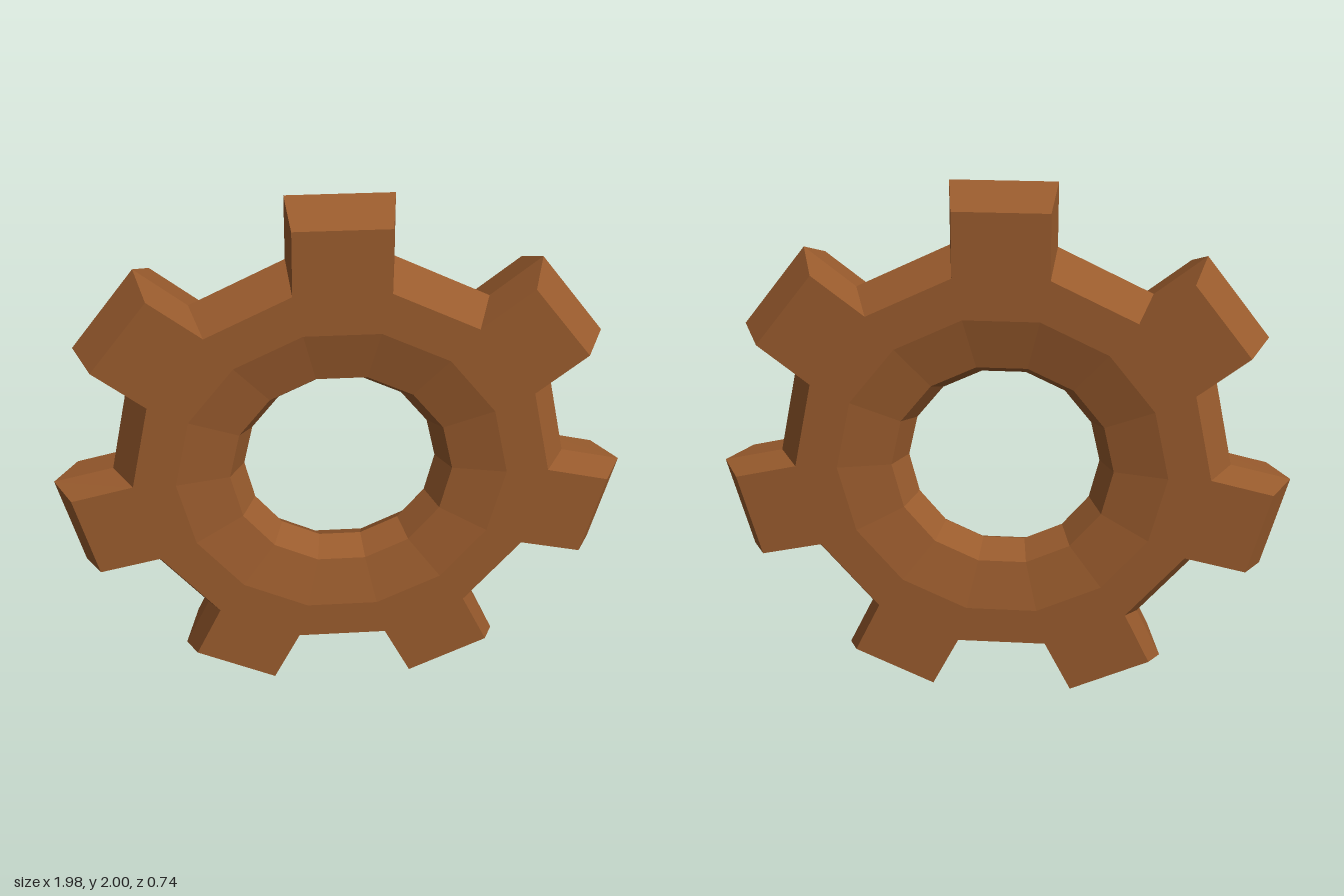
import * as THREE from 'three';

const TEETH = 7;
const STEP = Math.PI / TEETH;          // one tooth or one gap
const SLOPE = Math.tan(STEP / 2);      // half width of a segment per unit of radius

// Each profile point: [distance from centre, depth, optional half width]
const BORE = [[0.715, 0.13], [0.57, 0.13], [0.385, 0.09], [0.335, 0],
  [0.385, -0.09], [0.57, -0.13], [0.715, -0.13]];
const GAP_RIM = [[0.79, 0]];
const TOOTH_TIP = [[0.94, -0.13, 0.162], [1.01, 0, 0.18], [0.94, 0.13, 0.162]];
const ROOT = [[0.715, 0.13], [0.79, 0], [0.715, -0.13]];
const TIP = [...TOOTH_TIP].reverse();

const corner = ([r, z, w = r * SLOPE], side) => [side * w, r, z];

function quad(out, a, b, c, d) {
  out.push(...a, ...b, ...c, ...a, ...c, ...d);
}

// Closed strip across one segment, with flanks when it carries a tooth
function segmentGeometry(outer, hasTooth) {
  const out = [];
  const profile = [...BORE, ...outer];
  profile.forEach((p, i) => {
    const q = profile[(i + 1) % profile.length];
    quad(out, corner(p, -1), corner(q, -1), corner(q, 1), corner(p, 1));
  });
  if (hasTooth) {
    for (let i = 0; i < 2; i++) {
      const flank = [ROOT[i], ROOT[i + 1], TIP[i + 1], TIP[i]];
      quad(out, ...flank.map((p) => corner(p, 1)));
      quad(out, ...flank.reverse().map((p) => corner(p, -1)));
    }
  }
  const geometry = new THREE.BufferGeometry();
  geometry.setAttribute('position', new THREE.Float32BufferAttribute(out, 3));
  geometry.computeVertexNormals();
  return geometry;
}

export function createModel() {
  const copper = new THREE.MeshStandardMaterial({ color: 0x995b2d });
  copper.name = 'copper brown';
  copper.flatShading = true;

  const toothGeometry = segmentGeometry(TOOTH_TIP, true);
  const gapGeometry = segmentGeometry(GAP_RIM, false);

  const gear = new THREE.Group();
  gear.name = 'gear';
  for (let i = 0; i < TEETH * 2; i++) {
    const isTooth = i % 2 === 0;
    const segment = new THREE.Mesh(isTooth ? toothGeometry : gapGeometry, copper);
    segment.name = isTooth ? 'toothSegment' : 'gapSegment';
    segment.rotation.z = i * STEP;
    gear.add(segment);
  }

  // Upright gear, turned a little about the vertical
  gear.position.y = 0.99;
  gear.rotation.y = -Math.PI / 12;

  const model = new THREE.Group();
  model.name = 'gearModel';
  model.add(gear);
  return model;
}
